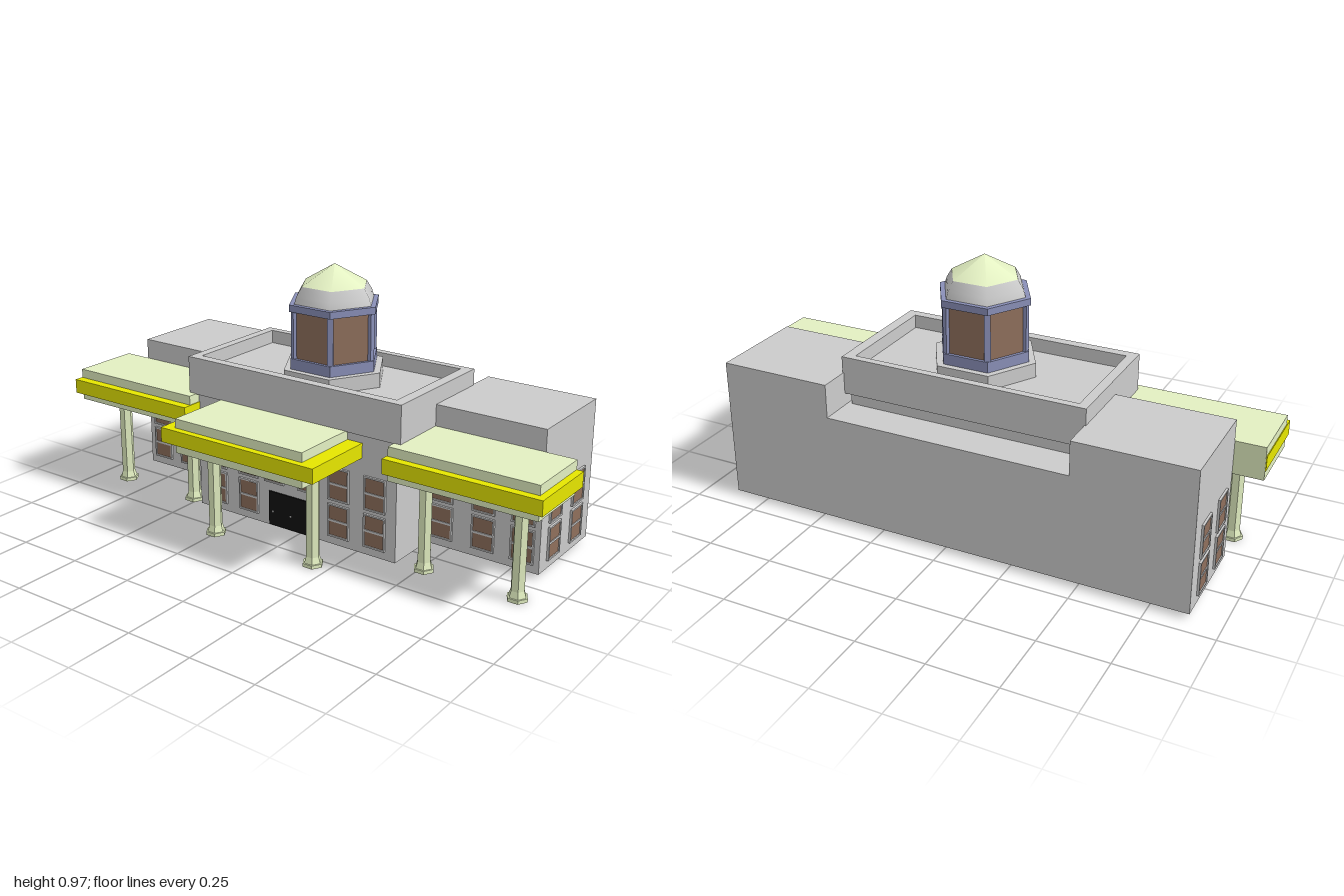
import * as THREE from 'three';

const mat = (color, flatShading = true) =>
  new THREE.MeshStandardMaterial({ color, flatShading });
const grey = mat(0xcccccc);
const green = mat(0xe3f0c2);
const yellow = mat(0xe6e600);
const brown = mat(0x8f6f5c);
const blue = mat(0x8a90b8);
const black = mat(0x111111);

export function createModel() {
  const root = new THREE.Group();

  const add = (name, geometry, material, parent = root) => {
    const mesh = new THREE.Mesh(geometry, material);
    mesh.name = name;
    parent.add(mesh);
    return mesh;
  };
  // Box given by its minimum and maximum along each axis
  const box = (name, x0, x1, y0, y1, z0, z1, material, parent) => {
    const mesh = add(name, new THREE.BoxGeometry(x1 - x0, y1 - y0, z1 - z0), material, parent);
    mesh.position.set((x0 + x1) / 2, (y0 + y1) / 2, (z0 + z1) / 2);
    return mesh;
  };
  // Six-sided prism or frustum with corners on the x axis
  const hex = (name, rBottom, rTop, y0, y1, material, parent, open = false) => {
    const mesh = add(name,
      new THREE.CylinderGeometry(rTop, rBottom, y1 - y0, 6, 1, open, Math.PI / 6), material, parent);
    mesh.position.y = (y0 + y1) / 2;
    return mesh;
  };
  const rect = (Type, x0, x1, y0, y1) => {
    const s = new Type();
    s.moveTo(x0, y0);
    s.lineTo(x1, y0);
    s.lineTo(x1, y1);
    s.lineTo(x0, y1);
    s.closePath();
    return s;
  };
  // Rectangular ring extruded along z
  const ring = (outer, inner, depth) => {
    const shape = rect(THREE.Shape, ...outer);
    shape.holes.push(rect(THREE.Path, ...inner));
    return new THREE.ExtrudeGeometry(shape, { depth, bevelEnabled: false });
  };

  // Main building: two wings and a projecting centre
  box('leftWing', 0.445, 0.865, 0.02, 0.54, -0.435, -0.06, grey);
  box('rightWing', -0.89, -0.465, 0.02, 0.54, -0.435, -0.06, grey);
  box('rearCentre', -0.465, 0.445, 0.02, 0.415, -0.435, -0.06, grey);
  box('frontCentre', -0.44, 0.43, 0.02, 0.415, -0.06, 0.15, grey);
  box('centreNeck', -0.44, 0.43, 0.415, 0.46, -0.3, 0.15, grey);

  // Upper block: roof slab with a raised parapet
  box('centreRoof', -0.47, 0.45, 0.46, 0.55, -0.318, 0.163, grey);
  const parapet = add('parapet',
    ring([-0.47, 0.45, -0.163, 0.318], [-0.435, 0.41, -0.127, 0.29], 0.05), grey);
  parapet.rotation.x = -Math.PI / 2;
  parapet.position.y = 0.55;

  // Hexagonal tower
  const tower = new THREE.Group();
  tower.name = 'tower';
  tower.position.set(0.015, 0, -0.074);
  root.add(tower);
  hex('towerPlinth', 0.196, 0.196, 0.55, 0.603, grey, tower);
  hex('towerBase', 0.17, 0.17, 0.603, 0.642, blue, tower);
  hex('towerPanels', 0.157, 0.157, 0.642, 0.812, brown, tower);
  for (let i = 0; i < 6; i++) {
    const a = (i * Math.PI) / 3;
    const post = box('towerPost', -0.011, 0.011, 0.642, 0.812, -0.011, 0.011, blue, tower);
    post.position.set(Math.cos(a) * 0.152, 0.727, Math.sin(a) * 0.152);
    post.rotation.y = -a;
  }
  hex('towerCornice', 0.174, 0.174, 0.812, 0.837, blue, tower);
  const domeGrey = mat(0xcccccc, false);
  const dome = add('dome', new THREE.LatheGeometry(
    [[0.155, 0.837], [0.147, 0.862], [0.126, 0.896]].map(p => new THREE.Vector2(...p)),
    6, Math.PI / 6), domeGrey, tower);
  dome.material.side = THREE.DoubleSide;
  hex('domeCap', 0.126, 0.001, 0.896, 0.968, mat(0xe3f0c2, false), tower);

  // Canopies: a pale slab with a yellow band around it
  const canopy = (name, slab, band) => {
    const g = new THREE.Group();
    g.name = name;
    root.add(g);
    box('canopySlab', ...slab, green, g);
    box('canopyBand', ...band, yellow, g);
  };
  canopy('rightCanopy', [-0.997, -0.438, 0.34, 0.462, -0.06, 0.2],
    [-1, -0.434, 0.374, 0.428, -0.058, 0.234]);
  canopy('leftCanopy', [0.424, 0.975, 0.34, 0.462, -0.06, 0.2],
    [0.42, 1, 0.374, 0.428, -0.058, 0.23]);
  canopy('middleCanopy', [-0.32, 0.23, 0.335, 0.462, 0.14, 0.41],
    [-0.365, 0.29, 0.374, 0.428, 0.14, 0.435]);

  // Columns with stepped feet and capitals
  const columns = [[-0.87, 0.1], [-0.52, 0.1], [0.515, 0.1], [0.87, 0.1], [-0.25, 0.29], [0.185, 0.29]];
  for (const [x, z] of columns) {
    const g = new THREE.Group();
    g.name = 'column';
    g.position.set(x, 0, z);
    root.add(g);
    hex('columnFoot', 0.038, 0.038, 0, 0.013, green, g);
    hex('columnFootTaper', 0.032, 0.025, 0.013, 0.036, green, g);
    hex('columnShaft', 0.025, 0.025, 0.036, 0.315, green, g);
    hex('columnCapitalTaper', 0.025, 0.033, 0.315, 0.327, green, g);
    hex('columnCapital', 0.037, 0.037, 0.327, 0.341, green, g);
  }

  // Windows: frame, brown panes and a middle bar, facing local +z
  const w = 0.044, h = 0.062;
  const frameGeo = ring([-w, w, -h, h], [-w + 0.006, w - 0.006, -h + 0.006, h - 0.006], 0.008);
  const addWindow = (x, y, z, turn = 0) => {
    const g = new THREE.Group();
    g.name = 'window';
    g.position.set(x, y, z);
    g.rotation.y = turn;
    root.add(g);
    add('windowFrame', frameGeo, grey, g);
    box('windowPane', -w + 0.006, w - 0.006, -h + 0.006, h - 0.006, 0, 0.004, brown, g);
    box('windowBar', -w + 0.006, w - 0.006, -0.004, 0.004, 0.004, 0.007, grey, g);
  };
  const rows = [0.113, 0.252];
  for (const y of rows) {
    for (const x of [-0.82, -0.683, -0.53, 0.487, 0.65, 0.8]) addWindow(x, y, -0.06);
    for (const x of [-0.352, -0.205, 0.195, 0.345]) addWindow(x, y, 0.15);
    for (const z of [-0.158, -0.328]) {
      addWindow(0.865, y, z, Math.PI / 2);
      addWindow(-0.89, y, z, -Math.PI / 2);
    }
  }
  for (const x of [-0.087, 0.063]) addWindow(x, rows[1], 0.15);

  // Double door with small knobs
  box('door', -0.11, 0.075, 0.025, 0.155, 0.15, 0.156, black);
  for (const x of [-0.092, -0.012]) {
    const knob = add('doorKnob', new THREE.SphereGeometry(0.004, 8, 6), grey);
    knob.position.set(x, 0.078, 0.157);
  }
  return root;
}
